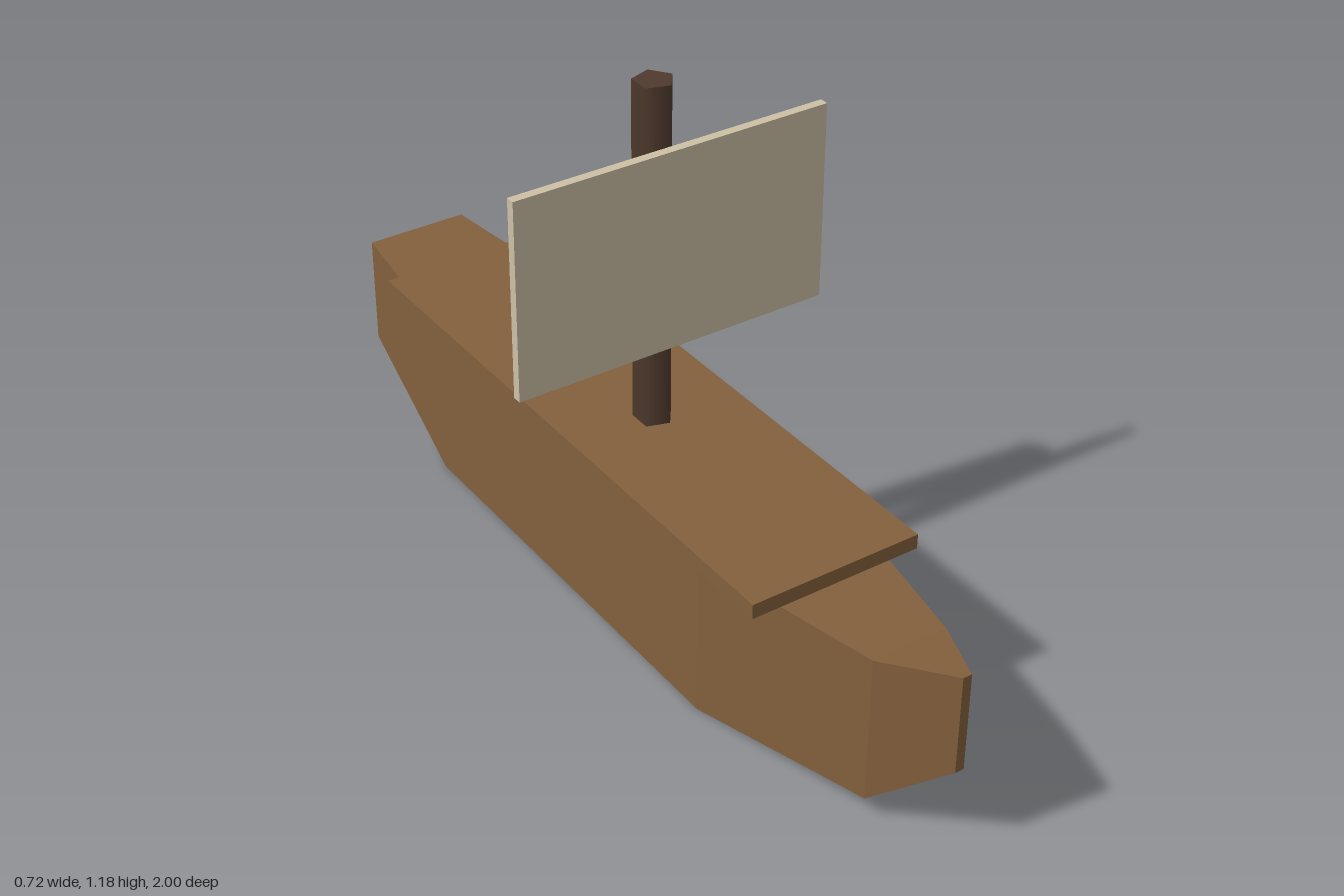
import * as THREE from 'three';

const mat = (name, color) => {
  const m = new THREE.MeshStandardMaterial({ color });
  m.name = name;
  return m;
};

// Closed faceted hull lofted through rectangular stations [z, halfWidth, bottom, top]
function hullGeometry(stations) {
  const pos = [];
  const rings = stations.map(([z, w, b, t]) => [[-w, b, z], [w, b, z], [w, t, z], [-w, t, z]]);
  const quad = (a, b, c, d) => pos.push(...a, ...b, ...c, ...a, ...c, ...d);
  for (let i = 0; i < rings.length - 1; i++) {
    const r = rings[i], s = rings[i + 1];
    for (let k = 0; k < 4; k++) {
      const n = (k + 1) % 4;
      quad(r[k], r[n], s[n], s[k]);
    }
  }
  const [a, b, c, d] = rings[0];
  quad(a, d, c, b); // transom
  quad(...rings[rings.length - 1]); // stem
  const g = new THREE.BufferGeometry();
  g.setAttribute('position', new THREE.Float32BufferAttribute(pos, 3));
  g.computeVertexNormals();
  return g;
}

export function createModel() {
  const wood = mat('hull wood', 0x83603d);
  const darkWood = mat('mast wood', 0x4f3a2d);
  const cloth = mat('sail cloth', 0xcdc0a5);

  const group = new THREE.Group();
  const add = (name, geometry, material, x, y, z) => {
    const mesh = new THREE.Mesh(geometry, material);
    mesh.name = name;
    mesh.position.set(x, y, z);
    group.add(mesh);
  };

  // Hull, stern to bow
  add('hull', hullGeometry([
    [-1, 0.12, 0.125, 0.382],
    [-0.6, 0.17, 0, 0.375],
    [0.41, 0.17, 0, 0.375],
    [0.84, 0.085, 0.048, 0.382],
    [1, 0.01, 0.195, 0.418],
  ]), wood, 0, 0, 0);

  // Overhanging deck board
  add('deck', new THREE.BoxGeometry(0.39, 0.033, 1.4), wood, 0, 0.3965, -0.08);

  // Five-sided mast with a corner pointing to +x
  add('mast', new THREE.CylinderGeometry(0.043, 0.043, 0.78, 5, 1, false, Math.PI / 2),
    darkWood, 0, 0.79, 0);

  // Square sail ahead of the mast
  add('sail', new THREE.BoxGeometry(0.72, 0.44, 0.02), cloth, 0, 0.84, 0.065);

  return group;
}
